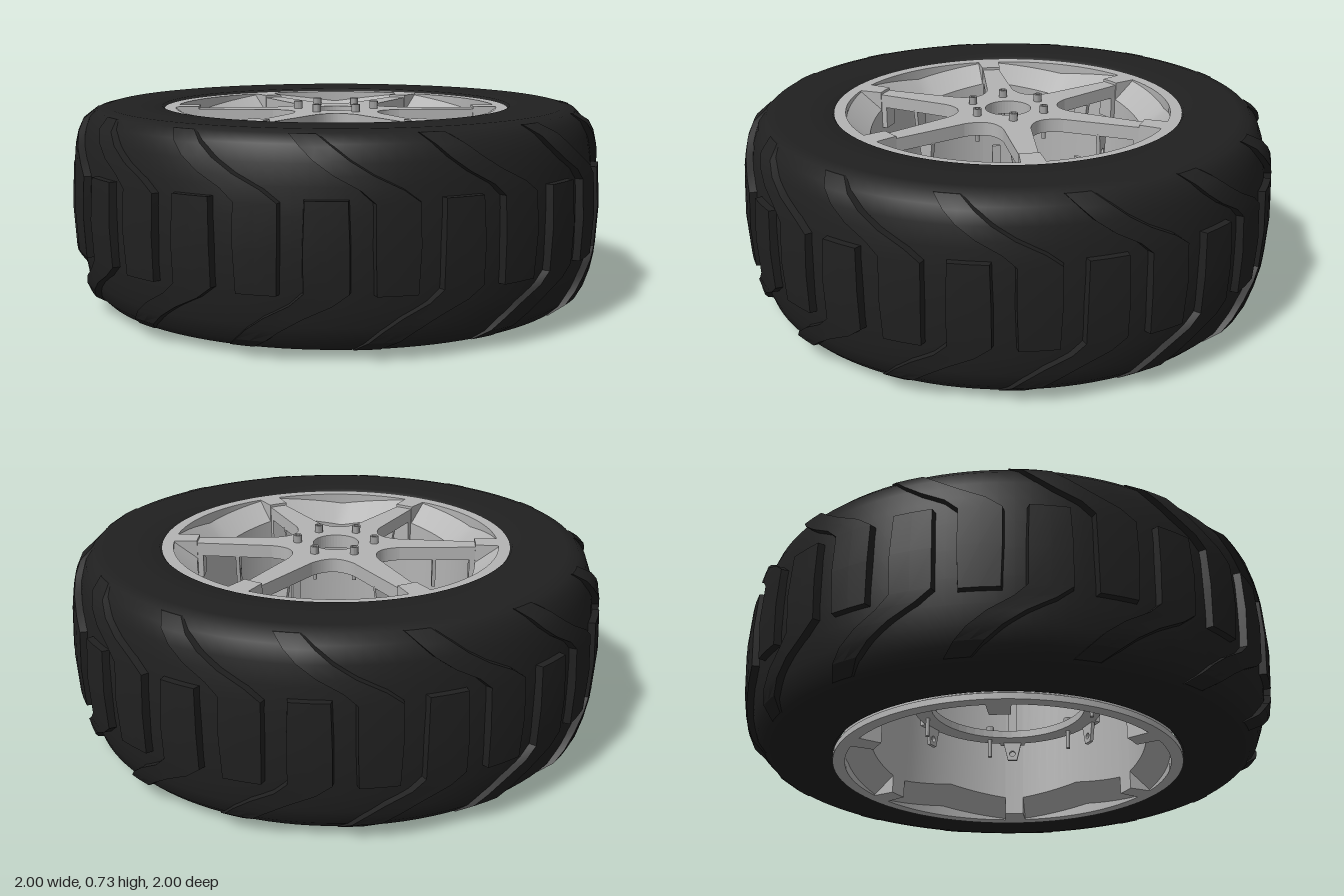
import * as THREE from 'three';
import { toCreasedNormals } from 'three/addons/utils/BufferGeometryUtils.js';

const SIX = [0, 1, 2, 3, 4, 5].map(k => k * Math.PI / 3);
const MID = 0.375; // tyre mid-height

// Tyre half profile: [radius, distance from mid-height]
const PROFILE = [[0.972, 0], [0.97, 0.1], [0.962, 0.19], [0.95, 0.26], [0.93, 0.315],
  [0.9, 0.345], [0.86, 0.355], [0.75, 0.352], [0.66, 0.35], [0.64, 0.325]];

function tyreRadius(dy) {
  const d = Math.abs(dy);
  for (let i = 1; i < PROFILE.length; i++) {
    const [r0, y0] = PROFILE[i - 1], [r1, y1] = PROFILE[i];
    if (d <= y1) return r0 + (r1 - r0) * (d - y0) / (y1 - y0);
  }
  return 0.86;
}

// Surface through rows of [angle, radius, y]; caps close open strips
function loft(rows, { closeRow = false, caps = false, crease = 0.4 } = {}) {
  const n = rows[0].length, pos = [], idx = [];
  for (const row of rows) for (const [a, r, y] of row) pos.push(r * Math.sin(a), y, r * Math.cos(a));
  const steps = closeRow ? n : n - 1;
  for (let k = 0; k < rows.length - 1; k++) for (let j = 0; j < steps; j++) {
    const a = k * n + j, b = k * n + (j + 1) % n, c = b + n, d = a + n;
    if (closeRow) idx.push(a, d, c, a, c, b);
    else idx.push(a, b, c, a, c, d);
  }
  if (caps) {
    const e = (rows.length - 1) * n;
    for (let j = 1; j < n - 1; j++) idx.push(0, j + 1, j, e, e + j, e + j + 1);
  }
  const g = new THREE.BufferGeometry();
  g.setAttribute('position', new THREE.Float32BufferAttribute(pos, 3));
  g.setIndex(idx);
  return toCreasedNormals(g, crease);
}

// Hooked tread lug: upright across the crown, swept back over one shoulder
function lugGeometry(lower) {
  // [angle, height from middle, width, relief]
  let path = [[0, -0.15, 0.15, 0.026], [0, 0, 0.16, 0.028], [0, 0.14, 0.16, 0.026],
    [-0.05, 0.18, 0.15, 0.026], [-0.14, 0.225, 0.14, 0.025], [-0.21, 0.27, 0.13, 0.024],
    [-0.26, 0.31, 0.12, 0.02], [-0.31, 0.345, 0.11, 0.006]];
  if (lower) path = path.map(([a, d, w, h]) => [a, -d, w, h]).reverse();
  const rows = path.map(([a, d, w, h]) => {
    const r = tyreRadius(d), y = MID + d, t = w / 2 - 0.008;
    return [[a - w / 2, r - 0.012, y], [a - t, r + h, y], [a, r + h, y], [a + t, r + h, y], [a + w / 2, r - 0.012, y]];
  });
  return loft(rows, { caps: true, crease: 0.5 });
}

// Rim ring with six sunken pockets on each face
function rimGeometry() {
  const rows = [], land = 0.07, H = 0.715;
  const section = (a, d1, d2) => [[0.655, 0], [0.655, 0.022], [0.622, 0.04], [0.622, H - 0.04],
    [0.655, H - 0.022], [0.655, H], [0.61, H], [0.61, H - d1], [0.525, H - d2],
    [0.525, d2], [0.61, d1], [0.61, 0]].map(([r, y]) => [a, r, y]);
  for (const s of SIX) {
    rows.push(section(s - land, 0, 0), section(s, 0, 0), section(s + land, 0, 0));
    for (let i = 0; i <= 14; i++) {
      const t = i / 14, v = 1 - Math.abs(2 * t - 1);
      rows.push(section(s + land + t * (Math.PI / 3 - 2 * land), 0.005 + 0.035 * v, 0.07 + 0.04 * v));
    }
  }
  rows.push(section(2 * Math.PI - land, 0, 0));
  return loft(rows, { closeRow: true, crease: 0.3 });
}

// Flat shape extruded upward
function plate(shape, depth) {
  return new THREE.ExtrudeGeometry(shape, { depth, bevelEnabled: false, curveSegments: 24 }).rotateX(-Math.PI / 2);
}

function hole(shape, x, y, r) {
  shape.holes.push(new THREE.Path().absarc(x, y, r, 0, Math.PI * 2, true));
}

// Six-armed spoke star with centre bore
function spokeGeometry() {
  const s = new THREE.Shape();
  const at = (a, along, side) => [along * Math.cos(a) - side * Math.sin(a), along * Math.sin(a) + side * Math.cos(a)];
  const first = Math.PI / 2;
  s.moveTo(...at(first, 0.24, -0.05));
  for (const k of SIX) {
    const a = first + k;
    s.lineTo(...at(a, 0.53, -0.033));
    s.lineTo(...at(a, 0.53, 0.033));
    s.lineTo(...at(a, 0.24, 0.05));
    s.quadraticCurveTo(...at(a + Math.PI / 6, 0.147, 0), ...at(a + Math.PI / 3, 0.24, -0.05));
  }
  hole(s, 0, 0, 0.086);
  return plate(s, 0.05);
}

// Tapered tab with a bolt hole, hanging down from its top edge
function tabGeometry(w, h) {
  const s = new THREE.Shape([[-w / 2, 0], [-w * 0.25, -h], [w * 0.25, -h], [w / 2, 0]].map(p => new THREE.Vector2(...p)));
  hole(s, 0, -h * 0.65, 0.012);
  return new THREE.ExtrudeGeometry(s, { depth: 0.014, bevelEnabled: false, curveSegments: 8 });
}

export function createModel() {
  const model = new THREE.Group();
  const mat = (name, color) => {
    const m = new THREE.MeshStandardMaterial({ color });
    m.name = name;
    return m;
  };
  const rubber = mat('black rubber', 0x202020);
  const alloy = mat('grey alloy', 0xb4b4b4);
  const steel = mat('bolt steel', 0xa0a0a0);

  const add = (name, geo, material, x = 0, y = 0, z = 0, parent = model) => {
    const m = new THREE.Mesh(geo, material);
    m.name = name;
    m.position.set(x, y, z);
    parent.add(m);
    return m;
  };

  // Tyre body
  const upper = PROFILE.map(([r, d]) => new THREE.Vector2(r, MID + d));
  const under = PROFILE.slice(1).map(([r, d]) => new THREE.Vector2(r, MID - d)).reverse();
  add('tyre', new THREE.LatheGeometry([...under, ...upper], 112), rubber);

  // Alternating upper and lower tread lugs
  const tread = new THREE.Group();
  tread.name = 'tread';
  model.add(tread);
  const lugs = [lugGeometry(false), lugGeometry(true)];
  for (let i = 0; i < 28; i++) {
    add(i % 2 ? 'lowerLug' : 'upperLug', lugs[i % 2], rubber, 0, 0, 0, tread).rotation.y = (i + 0.5) * Math.PI / 14;
  }

  // Rim, spokes and inner ring
  add('rim', rimGeometry(), alloy);
  add('spokes', spokeGeometry(), alloy, 0, 0.655, 0);
  const ring = new THREE.Shape().absarc(0, 0, 0.365, 0, Math.PI * 2, false);
  hole(ring, 0, 0, 0.297);
  add('innerRing', plate(ring, 0.03), alloy, 0, 0.25, 0);

  // Fittings repeated at every spoke
  const foot = new THREE.BoxGeometry(0.066, 0.13, 0.025);
  const spokeTab = tabGeometry(0.085, 0.12);
  const ringTab = tabGeometry(0.075, 0.08);
  const pad = new THREE.BoxGeometry(0.1, 0.03, 0.05);
  const post = new THREE.BoxGeometry(0.035, 0.15, 0.014);
  const boltProfile = [[0.009, 0.012], [0.009, 0.03], [0.016, 0.03], [0.016, 0], [0.008, 0], [0.008, -0.1], [0, -0.1]];
  const bolt = toCreasedNormals(new THREE.LatheGeometry(
    [...boltProfile.reverse(), [0, 0.012]].map(p => new THREE.Vector2(...p)), 12), 0.6);
  for (const a of SIX) {
    const arm = new THREE.Group();
    arm.name = 'spokeFittings';
    arm.rotation.y = a;
    model.add(arm);
    add('spokeFoot', foot, alloy, 0, 0.635, 0.516, arm);
    add('spokeTab', spokeTab, alloy, 0, 0.66, 0.365, arm);
    add('ringPad', pad, alloy, 0, 0.265, 0.36, arm);
    add('ringTab', ringTab, alloy, 0, 0.255, 0.355, arm);
    add('ringPost', post, alloy, 0, 0.35, 0.362, arm);
    add('hubBolt', bolt, steel, 0, 0.703, 0.145, arm);
    add('ringBolt', bolt, steel, 0.09, 0.275, 0.318, arm);
  }
  return model;
}
